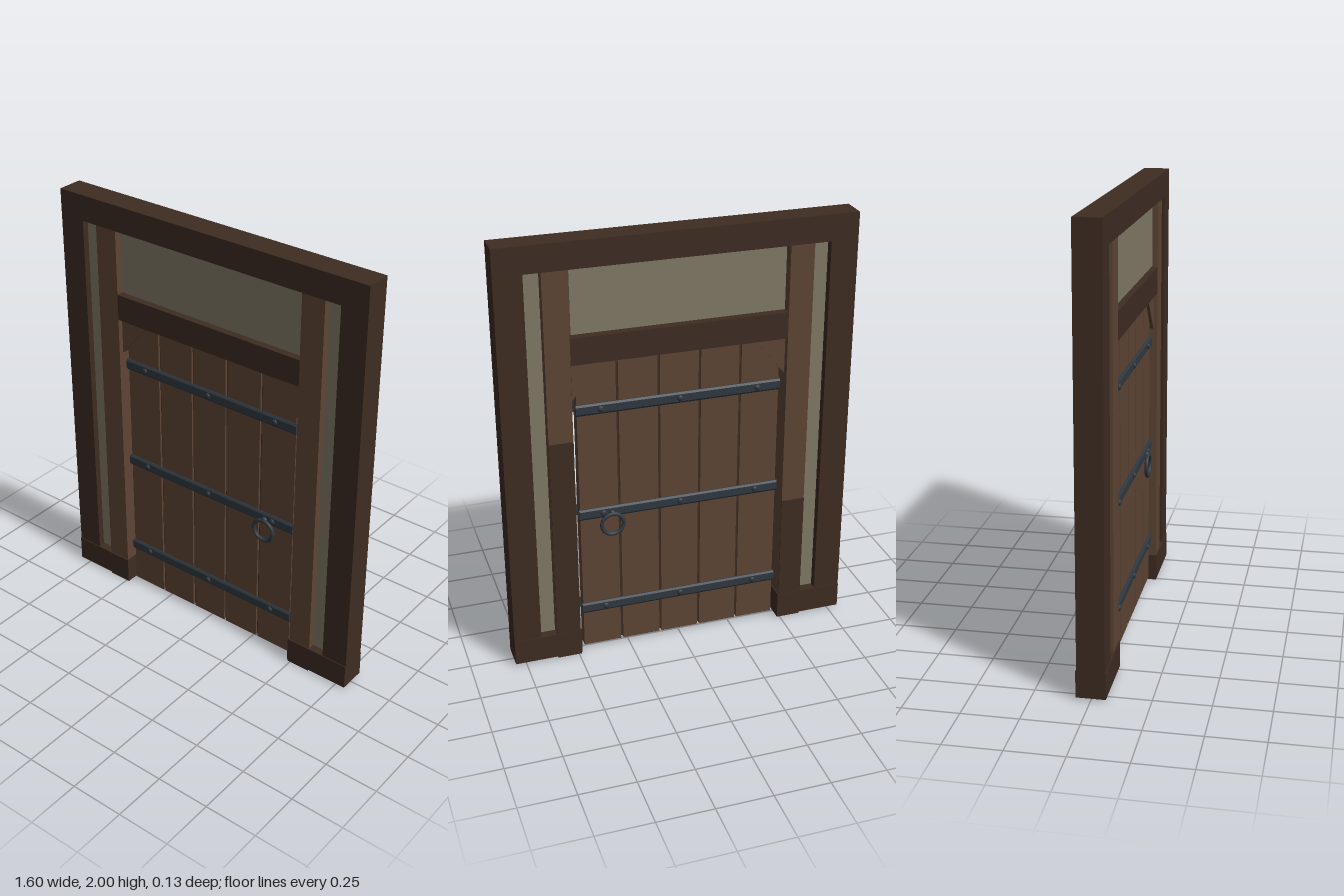
import * as THREE from 'three';

const mat = (name, color) => {
  const m = new THREE.MeshStandardMaterial({ color });
  m.name = name;
  return m;
};

export function createModel() {
  const root = new THREE.Group();
  root.name = 'timberDoorway';
  const dark = mat('darkTimber', 0x3e2c22);
  const wood = mat('brownWood', 0x5e4535);
  const plaster = mat('plaster', 0x807966);
  const iron = mat('iron', 0x303840);

  const add = (name, geometry, material, parent = root) => {
    const mesh = new THREE.Mesh(geometry, material);
    mesh.name = name;
    parent.add(mesh);
    return mesh;
  };
  // Box given by its limits on each axis
  const box = (name, material, [x0, x1], [y0, y1], [z0, z1], parent = root) => {
    const mesh = add(name, new THREE.BoxGeometry(x1 - x0, y1 - y0, z1 - z0), material, parent);
    mesh.position.set((x0 + x1) / 2, (y0 + y1) / 2, (z0 + z1) / 2);
    return mesh;
  };
  const span = (s, a, b) => (s > 0 ? [a, b] : [-b, -a]);

  // Head beam, lintel and plaster panel over the door
  box('headBeam', dark, [-0.8, 0.8], [1.88, 2], [-0.06, 0.06]);
  box('lintel', dark, [-0.49, 0.49], [1.455, 1.578], [-0.058, 0.058]);
  box('upperPanel', plaster, [-0.48, 0.48], [1.585, 1.875], [-0.035, 0.035]);

  // Posts, side panels, sills and braces on both sides
  for (const s of [-1, 1]) {
    const side = s > 0 ? 'left' : 'right';
    box(side + 'OuterPost', dark, span(s, 0.675, 0.8), [0.13, 1.88], [-0.06, 0.06]);
    box(side + 'InnerPost', wood, span(s, 0.49, 0.6), [0.13, 1.88], [-0.058, 0.058]);
    box(side + 'SidePanel', plaster, span(s, 0.605, 0.67), [0.14, 1.875], [-0.035, 0.035]);
    box(side + 'Sill', dark, span(s, 0.485, 0.8), [0.01, 0.13], [-0.064, 0.064]);
    box(side + 'Foot', dark, span(s, 0.487, 0.6), [0, 0.01], [-0.06, 0.06]);
    // Dark lower facing on the back of the inner post
    box(side + 'BackFacing', dark, span(s, 0.49, 0.6), [0.13, s > 0 ? 1.1 : 0.64], [-0.061, -0.058]);

    const corner = new THREE.Shape([
      new THREE.Vector2(s * 0.485, 1.455),
      new THREE.Vector2(s * 0.34, 1.455),
      new THREE.Vector2(s * 0.485, 1.285),
    ]);
    const brace = new THREE.ExtrudeGeometry(corner, { depth: 0.08, bevelEnabled: false });
    add(side + 'Brace', brace.translate(0, 0, -0.04), wood);
  }

  // Door planks over a dark core that shows in the gaps
  const door = new THREE.Group();
  door.name = 'door';
  root.add(door);
  box('doorCore', dark, [-0.46, 0.46], [0.03, 1.432], [-0.016, 0.016], door);
  for (let i = 0; i < 5; i++) {
    const x = (i - 2) * 0.188;
    box('plank', wood, [x - 0.0885, x + 0.0885], [0.022, 1.441], [-0.026, 0.026], door);
  }

  // Ironwork: chamfered straps, rivets and a ring, on both faces
  const section = new THREE.Shape([
    new THREE.Vector2(0, -0.026), new THREE.Vector2(0.006, -0.026),
    new THREE.Vector2(0.012, -0.017), new THREE.Vector2(0.012, 0.017),
    new THREE.Vector2(0.006, 0.026), new THREE.Vector2(0, 0.026),
  ]);
  const strapGeo = new THREE.ExtrudeGeometry(section, { depth: 0.94, bevelEnabled: false });
  strapGeo.translate(0, 0, -0.47).rotateY(-Math.PI / 2);
  const rivetGeo = new THREE.SphereGeometry(0.014, 12, 8).scale(1, 1, 0.6);
  for (const f of [-1, 1]) {
    const fittings = new THREE.Group();
    fittings.name = f > 0 ? 'frontFittings' : 'backFittings';
    if (f < 0) fittings.rotation.y = Math.PI;
    door.add(fittings);
    for (const y of [0.226, 0.716, 1.229]) {
      add('strap', strapGeo, iron, fittings).position.set(0, y, 0.025);
      for (const x of [-0.36, 0, 0.36]) {
        add('rivet', rivetGeo, iron, fittings).position.set(x, y, 0.038);
      }
    }
    const ring = add('ringHandle', new THREE.TorusGeometry(0.051, 0.009, 10, 28), iron, fittings);
    ring.position.set(f * 0.32, 0.657, 0.046);
    const boss = add('ringBoss', new THREE.SphereGeometry(0.015, 12, 8), iron, fittings);
    boss.position.set(f * 0.32, 0.71, 0.038);
  }
  return root;
}
